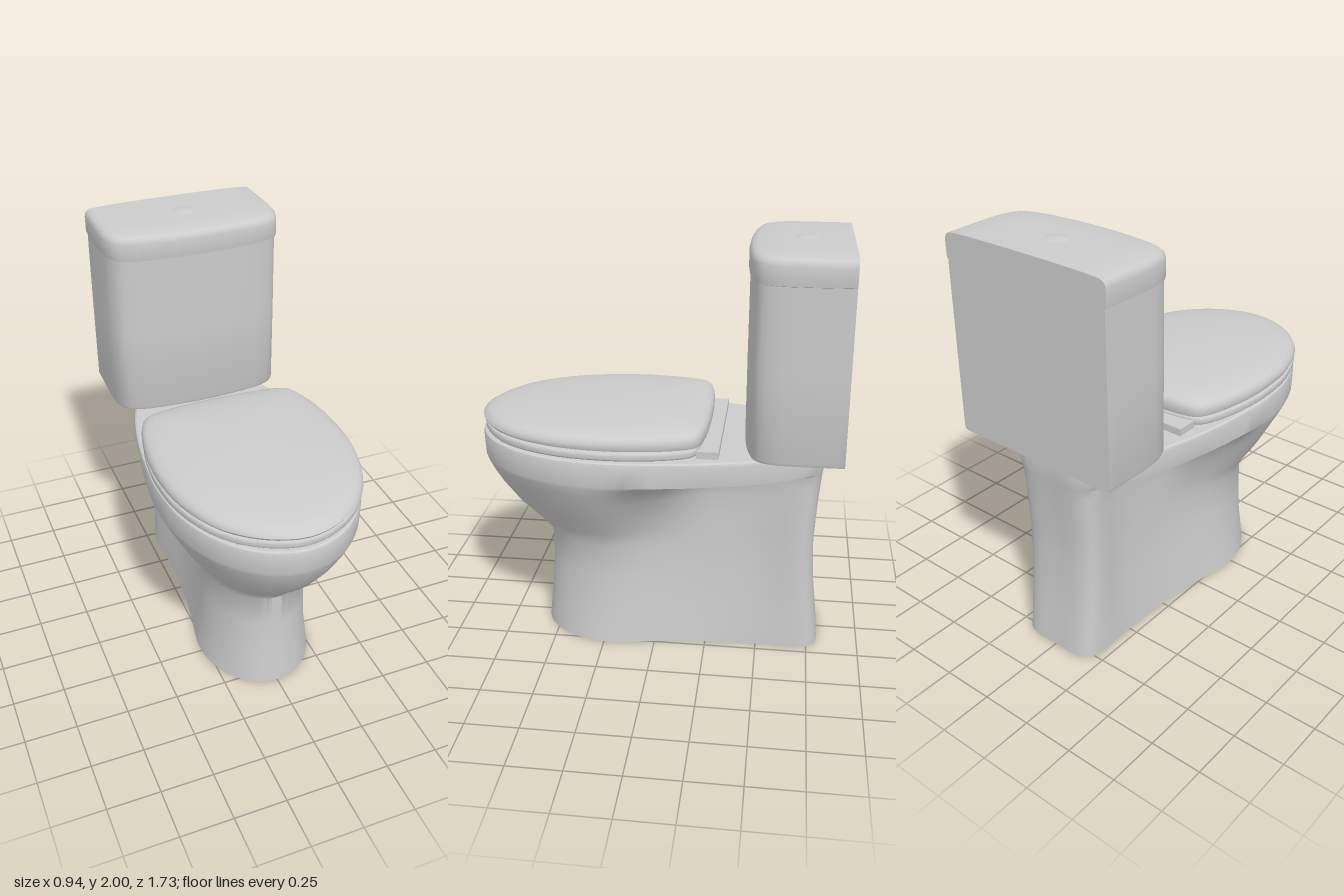
import * as THREE from 'three';
import { toCreasedNormals } from 'three/addons/utils/BufferGeometryUtils.js';

const material = new THREE.MeshStandardMaterial({ color: 0xcccccc });
const doubleSided = new THREE.MeshStandardMaterial({ color: 0xcccccc, side: THREE.DoubleSide });

function part(name, geometry, mat = material) {
  const mesh = new THREE.Mesh(geometry, mat);
  mesh.name = name;
  return mesh;
}

// Mirrored outline from half points [x, z] running front to back; a last x above 0 gives a flat back.
function outline(half, y = 0, perSpan = 4) {
  const right = half.map(([x, z]) => new THREE.Vector3(x, y, z));
  const left = right.slice(1).reverse().map((p) => new THREE.Vector3(-p.x, y, p.z));
  const closed = half[half.length - 1][0] === 0;
  const all = [...left, ...right];
  if (closed) all.pop();
  const spans = closed ? all.length : all.length - 1;
  const points = new THREE.CatmullRomCurve3(all, closed, 'centripetal').getPoints(spans * perSpan);
  if (closed) points.pop();
  return points;
}

const resize = (ring, y, sx, sz = sx, cz = 0) =>
  ring.map((p) => new THREE.Vector3(p.x * sx, y, cz + (p.z - cz) * sz));

// Skin over a stack of rings with equal point counts
function loft(rings, crease = 0.7) {
  const n = rings[0].length;
  const positions = rings.flat().flatMap((p) => [p.x, p.y, p.z]);
  const index = [];
  for (let i = 0; i < rings.length - 1; i++) {
    for (let j = 0; j < n; j++) {
      const k = (j + 1) % n;
      const a = i * n + j, b = i * n + k, c = a + n, d = b + n;
      index.push(a, b, d, a, d, c);
    }
  }
  const geometry = new THREE.BufferGeometry();
  geometry.setAttribute('position', new THREE.Float32BufferAttribute(positions, 3));
  geometry.setIndex(index);
  return toCreasedNormals(geometry, crease);
}

// Flat shape from a ring with an oval hole
function holedShape(ring, cz, rx, rz) {
  const shape = new THREE.Shape(ring.map((p) => new THREE.Vector2(p.x, -p.z)));
  const hole = new THREE.Path();
  hole.absellipse(0, -cz, rx, rz, 0, Math.PI * 2, true);
  shape.holes.push(hole);
  return shape;
}

// One level of the pedestal: half widths at the bowl, at three stations behind it, and at the back
function bowlRing([y, zFront, w, w0, w1, w2, wBack, zBack]) {
  const zWide = 0.22, d = zFront - zWide;
  const half = [0, 1, 2, 3, 4].map((i) => {
    const a = (i * Math.PI) / 8;
    return [w * Math.sin(a), zWide + d * Math.cos(a)];
  });
  half.push([w0, 0], [w1, -0.25], [w2, -0.5], [wBack, zBack + 0.05], [wBack * 0.75, zBack + 0.006], [0, zBack]);
  return outline(half, y);
}

function pedestal() {
  const group = new THREE.Group();
  group.name = 'pedestal';
  const rows = [
    [0, 0.575, 0.28, 0.245, 0.215, 0.205, 0.2, -0.8],
    [0.1, 0.566, 0.268, 0.235, 0.205, 0.2, 0.2, -0.79],
    [0.2, 0.555, 0.256, 0.225, 0.195, 0.19, 0.2, -0.778],
    [0.36, 0.543, 0.25, 0.21, 0.18, 0.18, 0.2, -0.765],
    [0.52, 0.545, 0.25, 0.205, 0.175, 0.17, 0.2, -0.758],
    [0.6, 0.615, 0.285, 0.215, 0.175, 0.17, 0.2, -0.76],
    [0.7, 0.72, 0.348, 0.25, 0.175, 0.17, 0.2, -0.765],
    [0.8, 0.795, 0.4, 0.3, 0.185, 0.17, 0.2, -0.772],
    [0.87, 0.835, 0.438, 0.36, 0.2, 0.175, 0.2, -0.778],
    [0.915, 0.855, 0.46, 0.42, 0.24, 0.19, 0.2, -0.783],
    [0.93, 0.86, 0.465, 0.45, 0.405, 0.335, 0.21, -0.785],
    [1.03, 0.865, 0.467, 0.455, 0.418, 0.345, 0.22, -0.79],
    [1.045, 0.86, 0.462, 0.45, 0.413, 0.34, 0.216, -0.787],
    [1.05, 0.85, 0.453, 0.441, 0.404, 0.332, 0.21, -0.78],
  ];
  const rings = rows.map(bowlRing);
  // Hollow foot, open underneath
  const inner = (ring, y) => resize(ring, y, 0.84, 0.95, -0.11);
  const cavity = [resize(rings[4], 0.56, 0), inner(rings[4], 0.5), inner(rings[2], 0.2), inner(rings[0], 0)];
  group.add(part('pedestalShell', loft([...cavity, ...rings])));

  // Rim top with the opening, and the basin below it
  const rim = new THREE.ShapeGeometry(holedShape(rings[rings.length - 1], 0.27, 0.31, 0.43), 48);
  rim.rotateX(-Math.PI / 2).translate(0, 1.05, 0);
  group.add(part('rimTop', rim));
  const profile = [[0, 0.64], [0.35, 0.66], [0.65, 0.76], [0.9, 0.93], [1, 1.05]];
  const curve = new THREE.SplineCurve(profile.map((p) => new THREE.Vector2(...p)));
  const basin = new THREE.LatheGeometry(curve.getPoints(16), 48);
  basin.scale(0.31, 1, 0.43).translate(0, 0, 0.27);
  group.add(part('basin', basin, doubleSided));
  return group;
}

function seatAndLid() {
  const group = new THREE.Group();
  group.name = 'seatAndLid';
  const ring = outline([
    [0, 0.863], [0.18, 0.81], [0.335, 0.675], [0.435, 0.46], [0.468, 0.22],
    [0.452, 0], [0.41, -0.16], [0.375, -0.212], [0.3, -0.236], [0, -0.252],
  ]);

  // Seat ring with rounded edges
  const seat = new THREE.ExtrudeGeometry(holedShape(resize(ring, 0, 0.975, 0.96, 0.37), 0.29, 0.27, 0.38), {
    depth: 0.018, bevelSize: 0.01, bevelThickness: 0.01, bevelSegments: 3, curveSegments: 48,
  });
  seat.rotateX(-Math.PI / 2).translate(0, 1.072, 0);
  group.add(part('seat', toCreasedNormals(seat, 0.7)));

  // Domed lid, sloping down towards the front
  const levels = [
    [1.106, 0], [1.106, 0.97], [1.11, 0.99], [1.122, 1], [1.14, 0.998], [1.156, 0.985],
    [1.168, 0.955], [1.18, 0.88], [1.192, 0.7], [1.201, 0.45], [1.206, 0.2], [1.207, 0],
  ];
  const rings = levels.map(([y, s]) => resize(ring, y, s, s, 0.1));
  rings.slice(4).flat().forEach((p) => { p.y -= (p.z - 0.1) * 0.022; });
  group.add(part('lid', loft(rings)));

  // Hinge bar and the pads under the seat
  const hinge = new THREE.BoxGeometry(0.715, 0.036, 0.1);
  hinge.translate(0, 1.067, -0.257);
  group.add(part('hingeBar', hinge));
  for (const [x, z] of [[0.25, 0.67], [0.385, 0.18]]) {
    for (const side of [-1, 1]) {
      const pad = part('seatPad', new THREE.BoxGeometry(0.05, 0.022, 0.1));
      pad.position.set(side * x, 1.058, z);
      group.add(pad);
    }
  }
  return group;
}

function tank() {
  const group = new THREE.Group();
  group.name = 'tank';
  const back = -0.865;
  const ring = outline([
    [0, -0.408], [0.2, -0.418], [0.33, -0.438], [0.395, -0.47], [0.425, -0.53], [0.434, -0.62], [0.43, back],
  ], 0, 6);
  const stack = (levels) => loft(levels.map(([y, s]) => resize(ring, y, s, s, back)));

  group.add(part('tankBody', stack([
    [1.06, 0], [1.06, 0.95], [1.065, 0.98], [1.08, 0.993], [1.48, 0.995], [1.89, 0.993],
  ])));
  group.add(part('tankLid', stack([
    [1.865, 0.98], [1.87, 1.006], [1.88, 1.01], [1.95, 1.01], [1.968, 1], [1.98, 0.975],
    [1.986, 0.93], [1.991, 0.7], [1.993, 0.3], [1.993, 0],
  ])));

  // Flush button
  const button = part('flushButton', new THREE.SphereGeometry(0.06, 32, 16));
  button.scale.y = 0.25;
  button.position.set(0, 1.985, -0.66);
  group.add(button);

  // Joint between tank and pedestal
  const joint = part('tankJoint', new THREE.CylinderGeometry(0.09, 0.09, 0.04, 32));
  joint.position.set(0, 1.055, -0.62);
  group.add(joint);
  return group;
}

export function createModel() {
  const model = new THREE.Group();
  model.name = 'toilet';
  model.add(pedestal(), seatAndLid(), tank());
  return model;
}
